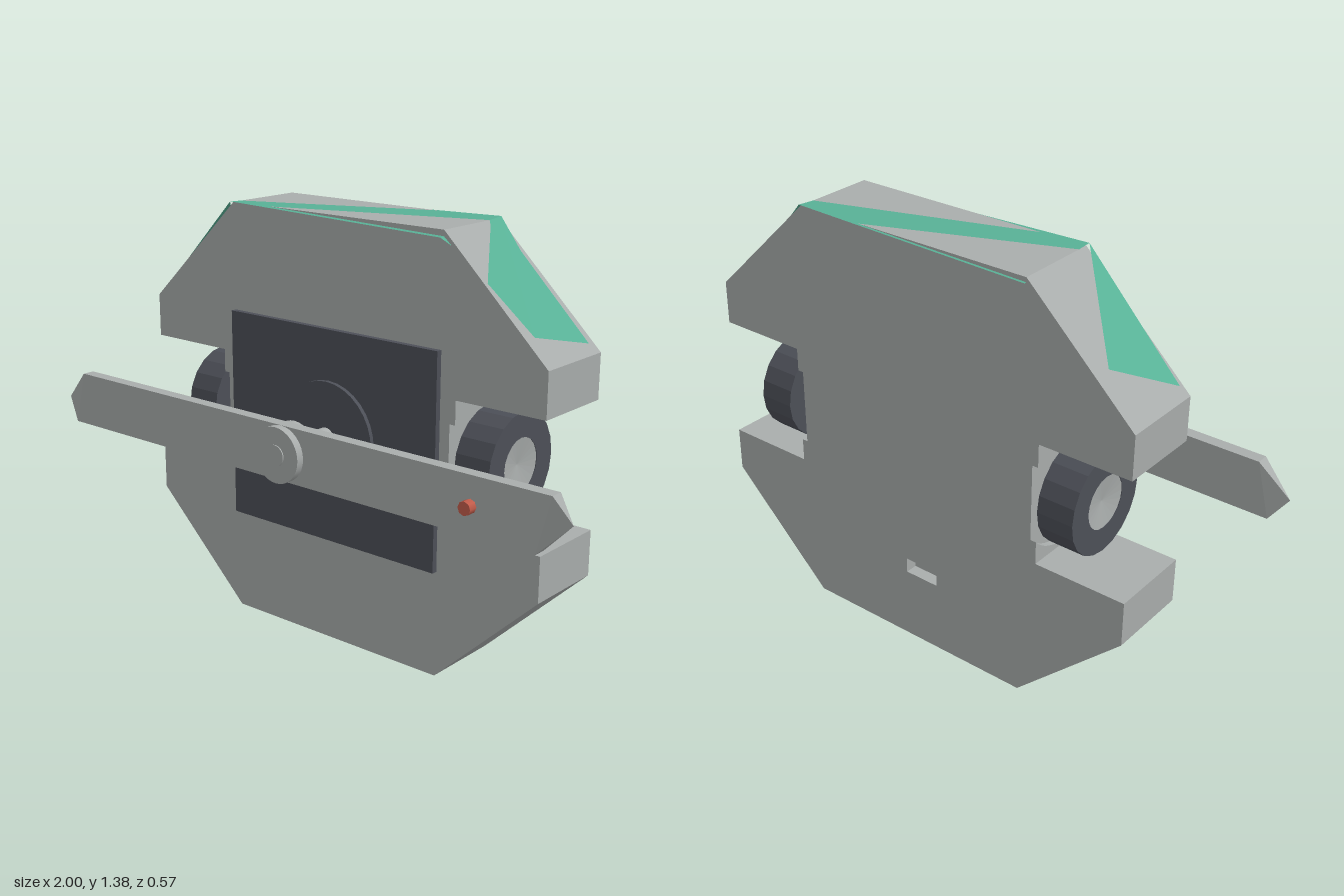
import * as THREE from 'three';
import { toCreasedNormals } from 'three/addons/utils/BufferGeometryUtils.js';
import { ConvexGeometry } from 'three/addons/geometries/ConvexGeometry.js';

const BACK = -0.255, FRONT = 0.018, MID = (BACK + FRONT) / 2;
const AXIS_Y = 0.69;

export function createModel() {
  const model = new THREE.Group();
  model.name = 'spinnerRobot';
  const material = (name, color, extra = {}) => {
    const m = new THREE.MeshStandardMaterial({ color, ...extra });
    m.name = name;
    return m;
  };
  const grey = material('metalGrey', 0xa9adac);
  const dark = material('darkRubber', 0x4d5058);
  const green = material('greenArmour', 0x58b196, { side: THREE.DoubleSide });
  const red = material('redBolt', 0xc25c4a);

  const add = (name, geometry, mat, x = 0, y = 0, z = 0) => {
    const mesh = new THREE.Mesh(geometry, mat);
    mesh.name = name;
    mesh.position.set(x, y, z);
    model.add(mesh);
    return mesh;
  };
  const flat = (geometry) => {
    const g = geometry.index ? geometry.toNonIndexed() : geometry;
    g.computeVertexNormals();
    return g;
  };
  const extrude = (shape, depth) =>
    new THREE.ExtrudeGeometry(shape, { depth, bevelEnabled: false, curveSegments: 16 });
  // Cylinder lying along z, from z0 to z1
  const rod = (name, r, z0, z1, mat, x = 0, sides = 32) =>
    add(name, new THREE.CylinderGeometry(r, r, z1 - z0, sides).rotateX(Math.PI / 2),
      mat, x, AXIS_Y, (z0 + z1) / 2);

  // Octagonal body with a wheel notch on each side
  const half = [[0.41, 0], [0.77, 0.345], [0.77, 0.49], [0.445, 0.49],
    [0.445, 0.89], [0.77, 0.89], [0.77, 1.03], [0.41, 1.375]];
  const outline = [...half, ...half.map(([x, y]) => [-x, y]).reverse()]
    .map(([x, y]) => new THREE.Vector2(x, y));
  const wall = 0.04;
  add('body', extrude(new THREE.Shape(outline), FRONT - BACK - wall), grey, 0, 0, BACK + wall);

  // Back layer with a small recessed slot
  const backShape = new THREE.Shape(outline);
  backShape.holes.push(new THREE.Path([[-0.09, 0.24], [-0.09, 0.29], [0.03, 0.29], [0.03, 0.24]]
    .map(([x, y]) => new THREE.Vector2(x, y))));
  add('backPanel', extrude(backShape, wall), grey, 0, 0, BACK);

  // Notch liners, hollowed by a round wheel clearance
  const w = (FRONT - BACK) / 2, clearance = 0.185;
  const angle = Math.acos(w / clearance);
  const liner = new THREE.Shape();
  liner.moveTo(w, 0.2);
  liner.lineTo(-w, 0.2);
  liner.lineTo(-w, clearance * Math.sin(angle));
  liner.absarc(0, 0, clearance, Math.PI - angle, angle, true);
  liner.closePath();
  for (const x of [0.445, -0.465]) {
    for (const turn of [0, Math.PI]) {
      const g = extrude(liner, 0.02).rotateZ(turn).rotateY(Math.PI / 2);
      add('notchLiner', g, grey, x, AXIS_Y, MID);
    }
  }

  // Wheels: faceted tyre, shallow dished hub and axle
  const profile = (pts) => pts.map(([r, y]) => new THREE.Vector2(r, y));
  for (const side of [1, -1]) {
    const wheel = new THREE.Group();
    wheel.name = side > 0 ? 'leftWheel' : 'rightWheel';
    wheel.position.set(side * 0.545, AXIS_Y, MID);
    wheel.rotation.z = -side * Math.PI / 2;
    const part = (name, geometry, mat) => {
      const mesh = new THREE.Mesh(geometry, mat);
      mesh.name = name;
      wheel.add(mesh);
      return mesh;
    };
    part('tyre', flat(new THREE.LatheGeometry(profile(
      [[0.02, -0.06], [0.164, -0.06], [0.164, 0.06], [0.085, 0.06], [0.085, 0.04]]), 20)), dark);
    part('hub', flat(new THREE.LatheGeometry(profile([[0.086, 0.058], [0, 0.046]]), 20)), grey);
    part('axle', new THREE.CylinderGeometry(0.03, 0.03, 0.06, 16), grey).position.y = -0.08;
    model.add(wheel);
  }

  // Front cover plate, bearing disc and drive shaft
  add('frontPlate', new THREE.BoxGeometry(0.82, 0.685, 0.019), dark, 0, 0.6875, FRONT + 0.0095);
  rod('bearingDisc', 0.18, 0.037, 0.051, dark);
  rod('shaft', 0.033, 0.05, 0.283, grey);

  // Spinning bar with pyramid tips, same after half a turn
  const barZ = 0.234, barPoints = [];
  for (const s of [1, -1]) {
    barPoints.push(new THREE.Vector3(s, s * 0.013, 0));
    for (const z of [-0.02, 0.02]) {
      barPoints.push(new THREE.Vector3(s * 0.945, s * 0.0875, z));
      barPoints.push(new THREE.Vector3(s * 0.9, -s * 0.0875, z));
    }
  }
  add('spinnerBar', toCreasedNormals(new ConvexGeometry(barPoints), 0.1), grey, 0, AXIS_Y + 0.001, barZ);
  rod('spinnerHub', 0.088, 0.193, 0.279, grey);
  rod('bolt', 0.021, 0.193, 0.283, red, 0.69, 8);

  // Warped armour sheets over the top and shoulders, partly sunk into the body
  const sheet = (name, triangles) => {
    const g = new THREE.BufferGeometry();
    g.setAttribute('position', new THREE.Float32BufferAttribute(triangles.flat(2), 3));
    g.computeVertexNormals();
    add(name, g, green);
  };
  const fl = [-0.41, 1.378, 0.033], bl = [-0.41, 1.36, -0.263];
  const fr = [0.41, 1.355, 0.035], br = [0.41, 1.38, -0.263];
  sheet('topArmour', [[fl, fr, br], [fl, br, bl]]);
  sheet('rightShoulderArmour', [[fl, [-0.665, 1.18, -0.235], [-0.745, 1.06, 0]]]);
  const outFront = [0.71, 1.11, 0], outBack = [0.745, 1.057, -0.228];
  const midFront = [0.46, 1.314, 0.005], midBack = [0.5, 1.292, -0.235];
  sheet('leftShoulderArmour', [[br, fr, midFront], [br, midFront, outFront],
    [br, outFront, midBack], [midBack, outFront, outBack]]);

  return model;
}
